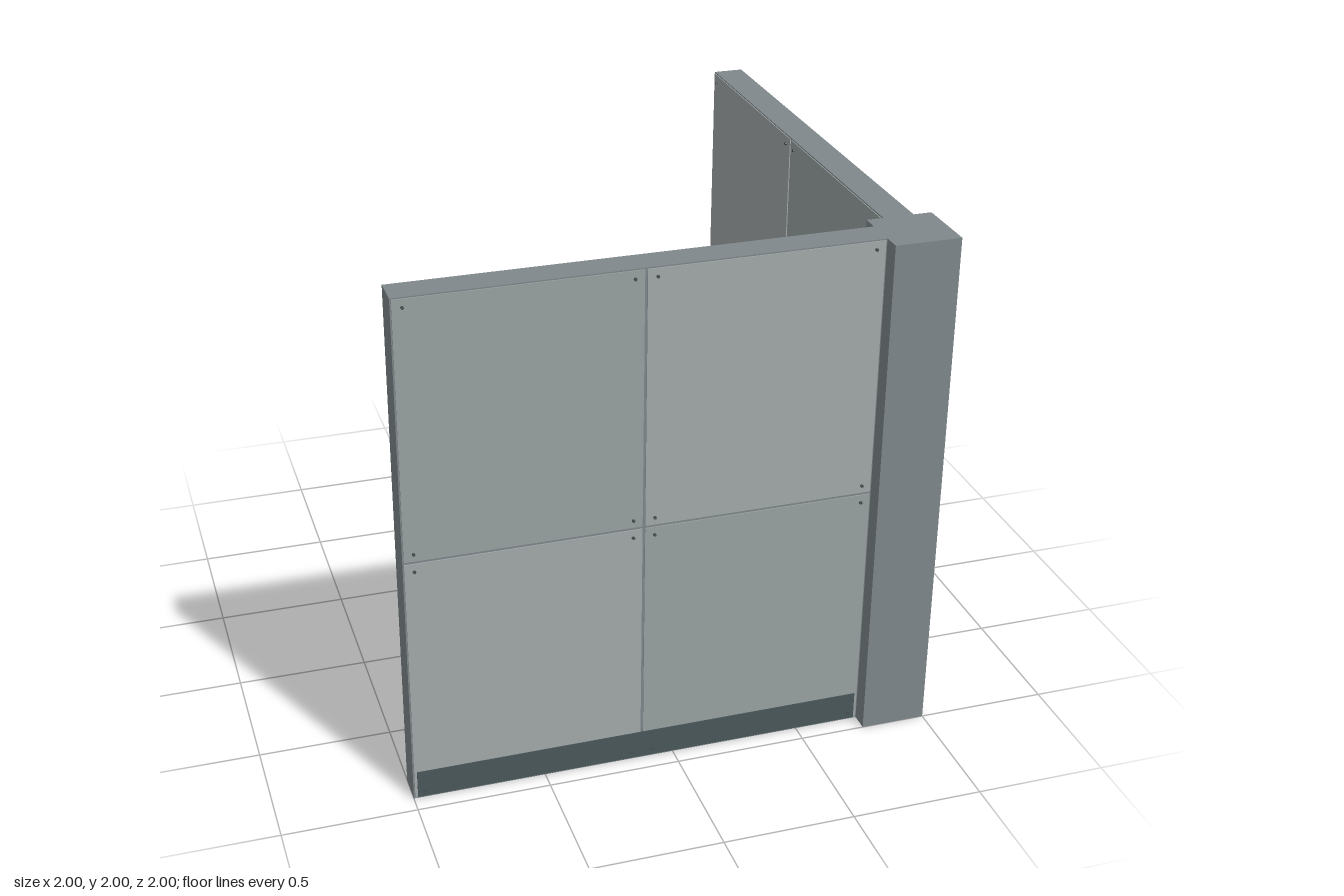
import * as THREE from 'three';

const mat = (color) => new THREE.MeshStandardMaterial({ color, flatShading: true });

export function createModel() {
  const model = new THREE.Group();
  model.name = 'cornerWall';
  const frameMat = mat(0x7f888b), darkPanelMat = mat(0x9aa2a2), lightPanelMat = mat(0xa4a9ab);
  const skirtingMat = mat(0x4b585c), boltMat = mat(0x4b5054);

  const box = (parent, name, w, h, d, x, y, z, material) => {
    const mesh = new THREE.Mesh(new THREE.BoxGeometry(w, h, d), material);
    mesh.name = name;
    mesh.position.set(x, y, z);
    parent.add(mesh);
    return mesh;
  };

  const boltGeometry = new THREE.CylinderGeometry(0.006, 0.006, 0.012, 8).rotateX(Math.PI / 2);
  const length = 1.75, panelW = 0.865, panelH = 0.99, face = 0.0625;

  // One wall along x: core slab, four panels per side, bolts and skirting
  function makeWall(name) {
    const wall = new THREE.Group();
    wall.name = name;
    box(wall, 'wallCore', length, 2, 0.117, 0, 1, 0, frameMat);
    for (const side of [1, -1]) {
      for (const col of [-1, 1]) {
        for (const row of [-1, 1]) {
          const cx = col * length / 4, cy = 1 + row * 0.5;
          box(wall, 'panel', panelW, panelH, 0.008, cx, cy, side * (face - 0.004),
            col * row < 0 ? darkPanelMat : lightPanelMat);
          // A bolt in each corner of the panel
          for (const sx of [-1, 1]) {
            for (const sy of [-1, 1]) {
              const bolt = new THREE.Mesh(boltGeometry, boltMat);
              bolt.name = 'bolt';
              bolt.position.set(cx + sx * (panelW / 2 - 0.035), cy + sy * (panelH / 2 - 0.03), side * (face + 0.001));
              wall.add(bolt);
            }
          }
        }
      }
      box(wall, 'skirting', 1.72, 0.11, 0.008, 0, 0.063, side * (face - 0.001), skirtingMat);
    }
    model.add(wall);
    return wall;
  }

  // Front wall and the side wall turned a quarter around the corner
  makeWall('frontWall').position.set(-0.125, 0, 0.8725);
  const sideWall = makeWall('sideWall');
  sideWall.position.set(0.8725, 0, -0.125);
  sideWall.rotation.y = Math.PI / 2;

  // Square post where the walls meet
  box(model, 'cornerPost', 0.25, 2, 0.25, 0.875, 1, 0.875, frameMat);

  return model;
}
